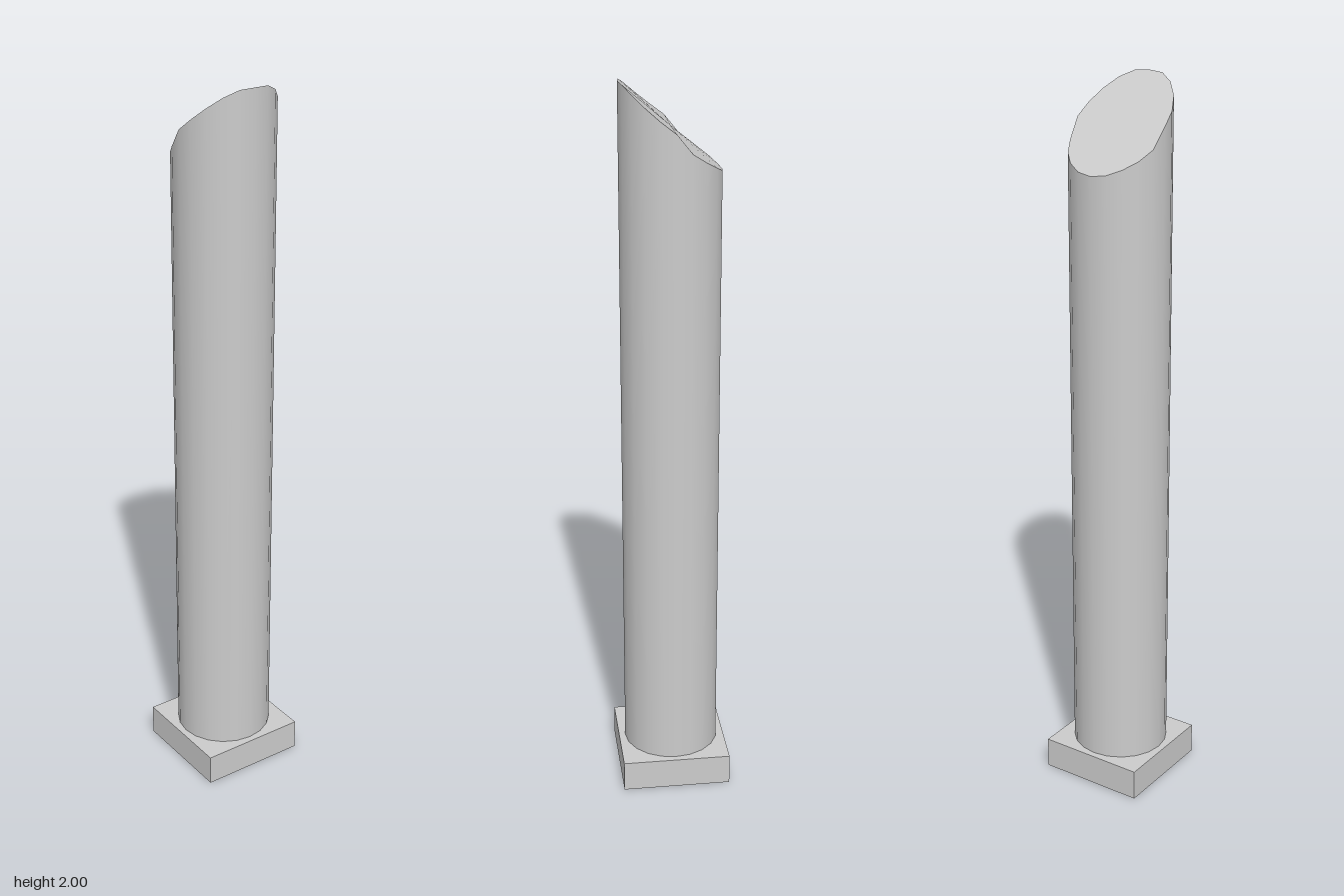
import * as THREE from 'three';

const SIDES = 20, RADIUS = 0.135, BASE_HEIGHT = 0.088, BASE_WIDTH = 0.306;
// Height of the cut rim, stepping from the tall side (+x) round to the short side (-x)
const RIM = [2.0, 1.998, 1.98, 1.952, 1.92, 1.888, 1.836, 1.81, 1.79, 1.775, 1.77];
const CUT_CENTRE = 1.885;

function slantedColumn() {
  const geometry = new THREE.CylinderGeometry(RADIUS, RADIUS, 1, SIDES, 1);
  geometry.translate(0, 0.5, 0);
  const pos = geometry.attributes.position;
  const normal = geometry.attributes.normal;
  const cut = new THREE.Vector3(-0.85, 1, 0).normalize();
  for (let i = 0; i < pos.count; i++) {
    const x = pos.getX(i), z = pos.getZ(i);
    if (pos.getY(i) < 0.5) {
      pos.setY(i, BASE_HEIGHT);
      continue;
    }
    // Raise each top vertex to the slanted cut
    const step = Math.round(Math.atan2(Math.abs(z), x) / (Math.PI * 2 / SIDES));
    pos.setY(i, Math.hypot(x, z) < 0.01 ? CUT_CENTRE : RIM[step]);
    if (normal.getY(i) > 0.5) normal.setXYZ(i, cut.x, cut.y, cut.z);
  }
  return geometry;
}

export function createModel() {
  const group = new THREE.Group();
  group.name = 'slantedPost';
  const material = new THREE.MeshStandardMaterial({ color: 0xcccccc });

  // Square plinth
  const base = new THREE.Mesh(new THREE.BoxGeometry(BASE_WIDTH, BASE_HEIGHT, BASE_WIDTH), material);
  base.name = 'base';
  base.position.y = BASE_HEIGHT / 2;

  // Round shaft with an obliquely cut top
  const column = new THREE.Mesh(slantedColumn(), material);
  column.name = 'column';

  group.add(base, column);
  return group;
}
